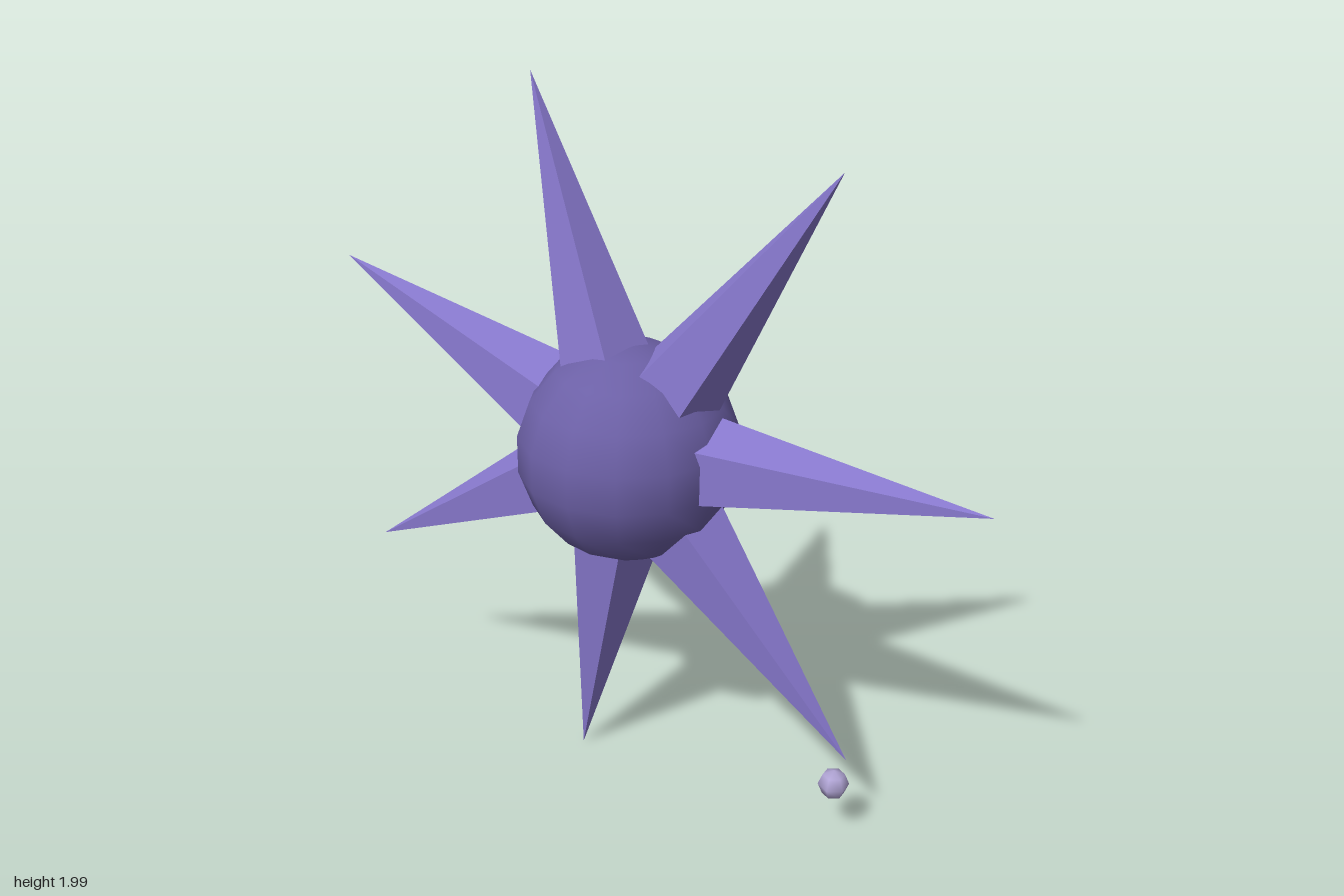
import * as THREE from 'three';

const CENTER = new THREE.Vector3(-0.038, 1.016, 0);
const SPIKES = 7, PHASE = THREE.MathUtils.degToRad(3.6);
const TIP = 1.025, ROOT = 0.22, ROOT_RADIUS = 0.134;

const material = (name, color) => Object.assign(new THREE.MeshStandardMaterial({ color }), { name });

// Five-sided spike along +y from the core's centre, with faceted normals and a ridge at the back
function spikeGeometry() {
  const cone = new THREE.ConeGeometry(ROOT_RADIUS, TIP - ROOT, 5, 1, false, Math.PI);
  cone.translate(0, (TIP + ROOT) / 2, 0);
  const faceted = cone.toNonIndexed();
  faceted.computeVertexNormals();
  return faceted;
}

// Low-segment smooth ball whose first meridian lies on the z axis
function ball(name, radius, around, rings, mat, position) {
  const geometry = new THREE.SphereGeometry(radius, around, rings).rotateY(Math.PI / 2);
  const mesh = new THREE.Mesh(geometry, mat);
  mesh.name = name;
  mesh.position.copy(position);
  return mesh;
}

export function createModel() {
  const model = new THREE.Group();
  model.name = 'spikedStar';
  const coreColor = material('deep violet', 0x6c60a6);
  const spikeColor = material('bright violet', 0x8879ce);
  const beadColor = material('pale lavender', 0xb0a4d4);

  // Round core
  model.add(ball('core', 0.305, 14, 9, coreColor, CENTER));

  // Ring of spikes in the x-y plane
  const geometry = spikeGeometry();
  const spikes = new THREE.Group();
  spikes.name = 'spikes';
  spikes.position.copy(CENTER);
  for (let i = 0; i < SPIKES; i++) {
    const spike = new THREE.Mesh(geometry, spikeColor);
    spike.name = 'spike' + (i + 1);
    spike.rotation.z = PHASE + (i * Math.PI * 2) / SPIKES - Math.PI / 2;
    spikes.add(spike);
  }
  model.add(spikes);

  // Small loose bead below the lower left spike
  model.add(ball('bead', 0.043, 6, 4, beadColor, new THREE.Vector3(0.617, 0.168, 0)));
  return model;
}
